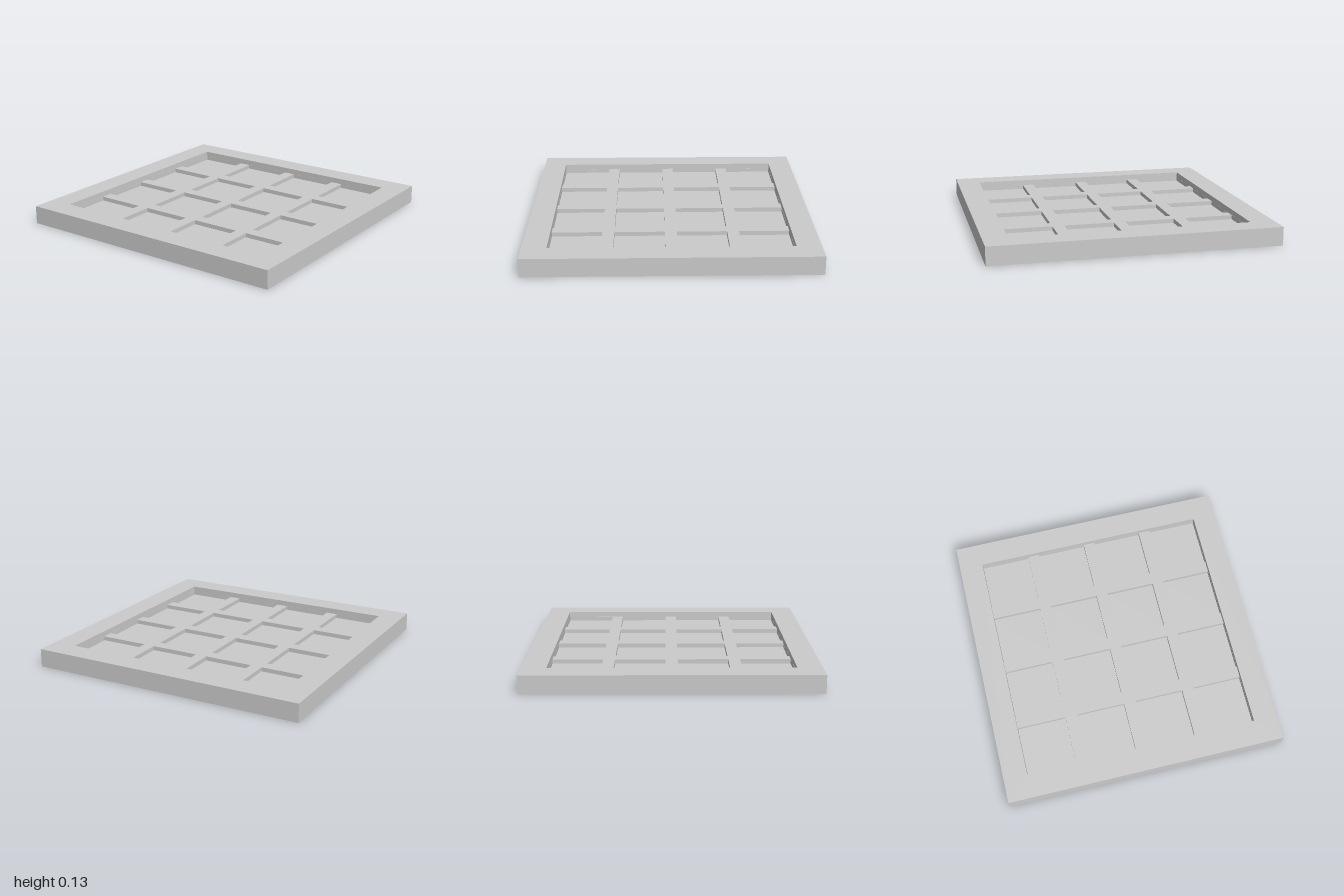
import * as THREE from 'three';

const TOP = 0.13, RIB = 0.09, FLOOR = 0.06;
const INNER = 0.83;
const CELL = 0.352, PITCH = 0.4355;

const material = new THREE.MeshStandardMaterial({
  color: 0xcccccc, flatShading: true, side: THREE.DoubleSide,
});

function add(group, geometry, name) {
  const mesh = new THREE.Mesh(geometry, material);
  mesh.name = name;
  group.add(mesh);
  return mesh;
}

// Square outline centred on (x, z), for sheets and their openings
function square(Type, size, x = 0, z = 0) {
  const h = size / 2, path = new Type();
  path.moveTo(x - h, z - h);
  path.lineTo(x + h, z - h);
  path.lineTo(x + h, z + h);
  path.lineTo(x - h, z + h);
  path.closePath();
  return path;
}

// Horizontal sheet at height y
function sheet(shape, y) {
  return new THREE.ShapeGeometry(shape).rotateX(-Math.PI / 2).translate(0, y, 0);
}

// Four thin upright walls around a square, open above and below
function walls(size, y0, y1, x = 0, z = 0) {
  return new THREE.CylinderGeometry(size / Math.SQRT2, size / Math.SQRT2, y1 - y0, 4, 1, true, Math.PI / 4)
    .translate(x, (y0 + y1) / 2, z);
}

export function createModel() {
  const model = new THREE.Group();
  model.name = 'cofferedPanel';

  // Hollow outer frame
  const frame = new THREE.Group();
  frame.name = 'frame';
  const rim = square(THREE.Shape, 2);
  rim.holes.push(square(THREE.Path, INNER * 2));
  add(frame, sheet(rim, TOP), 'frameTop');
  add(frame, walls(2, 0, TOP), 'outerWalls');
  add(frame, walls(INNER * 2, 0, TOP), 'innerWalls');
  model.add(frame);

  // Lattice of hollow ribs around a 4 x 4 field of sunken cells
  const lattice = square(THREE.Shape, INNER * 2);
  const cells = new THREE.Group();
  cells.name = 'cells';
  for (let i = 0; i < 4; i++) {
    for (let j = 0; j < 4; j++) {
      const x = (i - 1.5) * PITCH, z = (j - 1.5) * PITCH;
      lattice.holes.push(square(THREE.Path, CELL, x, z));
      add(cells, walls(CELL, 0, RIB, x, z), 'cellWalls');
      add(cells, sheet(square(THREE.Shape, CELL, x, z), FLOOR), 'cellFloor');
    }
  }
  add(model, sheet(lattice, RIB), 'ribTops');
  model.add(cells);
  return model;
}
